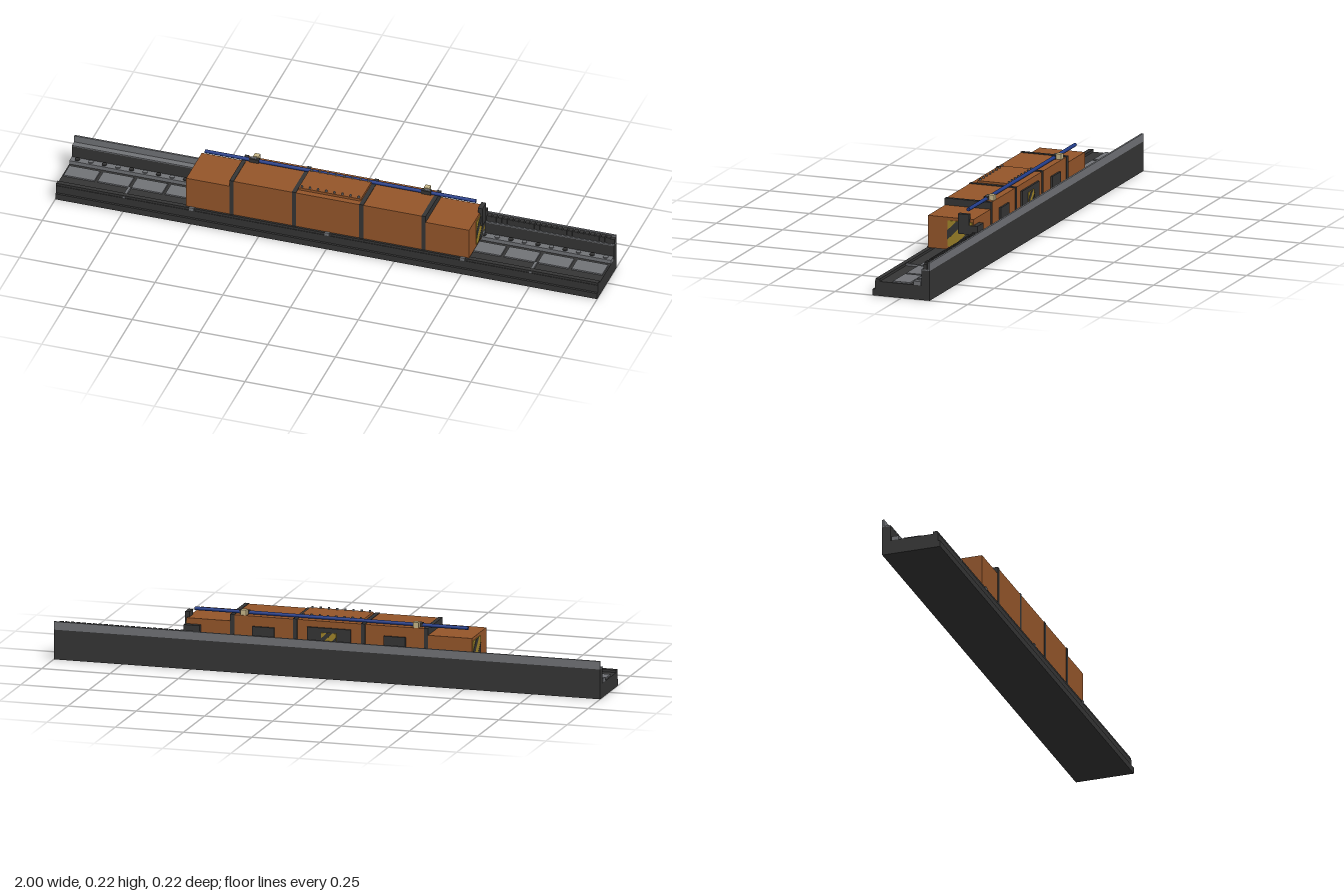
import * as THREE from 'three';

const mat = (name, color) => Object.assign(new THREE.MeshStandardMaterial({ color }), { name });

export function createModel() {
  const root = new THREE.Group();
  root.name = 'linearStage';
  const orange = mat('orange', 0x95562a);
  const dark = mat('charcoal', 0x353535);
  const grey = mat('steelGrey', 0x717377);
  const yellow = mat('hazardYellow', 0xa0852a);
  const blue = mat('blue', 0x223c88);
  const beige = mat('beige', 0xc8b78a);

  const add = (name, geo, m, parent = root) => {
    const mesh = new THREE.Mesh(geo, m);
    mesh.name = name;
    parent.add(mesh);
    return mesh;
  };
  // box from its low and high limits on each axis
  const box = (name, m, x0, x1, y0, y1, z0, z1, parent = root) => {
    const b = add(name, new THREE.BoxGeometry(x1 - x0, y1 - y0, z1 - z0), m, parent);
    b.position.set((x0 + x1) / 2, (y0 + y1) / 2, (z0 + z1) / 2);
    return b;
  };

  // Long bed with front step and rear wall
  const bed = new THREE.Group();
  bed.name = 'bed';
  root.add(bed);
  box('bedBody', dark, -1, 1, 0, 0.052, -0.08, 0.1, bed);
  box('frontStep', dark, -1, 1, 0, 0.023, 0.1, 0.108, bed);
  box('frontRim', dark, -1, 1, 0.052, 0.061, 0.081, 0.098, bed);
  box('rearWall', dark, -1, 1, 0, 0.107, -0.107, -0.077, bed);
  box('wallCap', grey, -1, 1, 0.107, 0.111, -0.107, -0.076, bed);
  box('wallLip', grey, -1, 1, 0.111, 0.136, -0.107, -0.1, bed);
  for (const x of [-0.5, 0, 0.5]) box('rimClip', grey, x - 0.008, x + 0.008, 0.052, 0.063, 0.09, 0.101, bed);

  // Magnet plates in the channel
  for (let i = 0; i < 16; i++) {
    const x = -1 + i * 0.125;
    box('magnetPlate', grey, x + 0.006, x + 0.119, 0.052, 0.057, -0.03, 0.034, bed);
  }
  for (const x of [-0.75, 0.75]) box('crossPin', grey, x - 0.005, x + 0.005, 0.052, 0.059, 0.034, 0.1, bed);

  // Guide rail with bolts
  box('guideRail', grey, -1, 1, 0.052, 0.066, -0.073, -0.046, bed);
  const boltGeo = new THREE.CylinderGeometry(0.009, 0.009, 0.005, 10);
  for (let i = 0; i < 40; i++) {
    add('railBolt', boltGeo, i % 2 ? grey : dark, bed).position.set(-0.975 + i * 0.05, 0.0675, -0.06);
  }

  // Cable chain on the wall
  const chain = new THREE.Group();
  chain.name = 'cableChain';
  root.add(chain);
  box('chainRun', dark, 0.48, 1, 0.111, 0.13, -0.097, -0.083, chain);
  for (let x = 0.49; x < 0.99; x += 0.02) box('chainLink', dark, x, x + 0.014, 0.111, 0.134, -0.099, -0.081, chain);

  // Carriage covers
  const car = new THREE.Group();
  car.name = 'carriage';
  root.add(car);
  box('centreCover', orange, -0.12, 0.12, 0.062, 0.201, -0.079, 0.092, car);
  box('topPlate', orange, -0.115, 0.115, 0.201, 0.21, -0.05, 0.07, car);
  for (const s of [-1, 1]) {
    const span = (a, b) => [Math.min(s * a, s * b), Math.max(s * a, s * b)];
    box('sideCover', orange, ...span(0.13, 0.35), 0.062, 0.201, -0.079, 0.092, car);
    box('endCover', orange, ...span(0.36, 0.522), 0.062, 0.178, -0.079, 0.092, car);
    box('innerBand', dark, ...span(0.117, 0.132), 0.062, 0.203, -0.081, 0.0935, car);
    box('outerBand', dark, ...span(0.347, 0.362), 0.062, 0.203, -0.081, 0.0935, car);
    // guide shoes, tube holder and clamp
    box('guideShoe', grey, ...span(0.4, 0.52), 0.066, 0.085, -0.073, -0.046, car);
    box('shoeFace', grey, ...span(0.515, 0.526), 0.066, 0.084, -0.071, -0.048, car);
    box('tubeHolder', dark, ...span(0.3, 0.335), 0.201, 0.215, -0.058, -0.043, car);
    box('clampBlock', beige, ...span(0.305, 0.325), 0.201, 0.22, -0.077, -0.056, car);
    box('holderTab', grey, ...span(0.31, 0.33), 0.201, 0.217, -0.056, -0.046, car);
    // rear access panel
    box('rearPanel', dark, ...span(0.2, 0.28), 0.1, 0.165, -0.086, -0.078, car);
  }
  box('rearCentrePanel', dark, -0.08, 0.08, 0.09, 0.178, -0.086, -0.078, car);

  // Row of cap screws on the top plate
  const screwGeo = new THREE.CylinderGeometry(0.004, 0.004, 0.006, 8);
  for (let i = 0; i < 8; i++) {
    for (const z of [0.063, -0.045]) add('capScrew', screwGeo, grey, car).position.set(-0.105 + i * 0.03, 0.213, z);
  }

  // Blue conduit along the top
  const tube = add('conduit', new THREE.CylinderGeometry(0.0065, 0.0065, 1, 12), blue, car);
  tube.rotation.z = Math.PI / 2;
  tube.position.set(0, 0.207, -0.051);

  // Hazard panels: u runs across, v runs up
  const hazard = (name) => {
    const g = new THREE.Group();
    g.name = name;
    box('hazardPlate', yellow, 0, 0.093, 0, 0.094, 0, 0.003, g);
    const stripes = [
      [[0, 0.025], [0.069, 0.094], [0.035, 0.094], [0, 0.059]],
      [[0.02, 0], [0.054, 0], [0.093, 0.039], [0.093, 0.073]],
    ];
    for (const pts of stripes) {
      const shape = new THREE.Shape(pts.map(([u, v]) => new THREE.Vector2(u, v)));
      add('hazardStripe', new THREE.ExtrudeGeometry(shape, { depth: 0.001, bevelEnabled: false }), dark, g).position.z = 0.003;
    }
    return g;
  };
  const right = hazard('leftEndHazard');
  right.rotation.y = Math.PI / 2;
  right.position.set(0.522, 0.073, 0.018);
  const left = hazard('rightEndHazard');
  left.rotation.y = -Math.PI / 2;
  left.position.set(-0.522, 0.073, -0.075);
  const rear = hazard('rearHazard');
  rear.rotation.y = Math.PI;
  rear.scale.set(0.6, 0.6, 1);
  rear.position.set(0.028, 0.105, -0.086);
  car.add(right, left, rear);

  // Connector and chain bracket on one end
  box('connectorPlate', dark, 0.515, 0.532, 0.125, 0.197, -0.066, -0.025, car);
  box('chainBracket', dark, 0.47, 0.528, 0.112, 0.157, -0.097, -0.066, car);

  return root;
}
